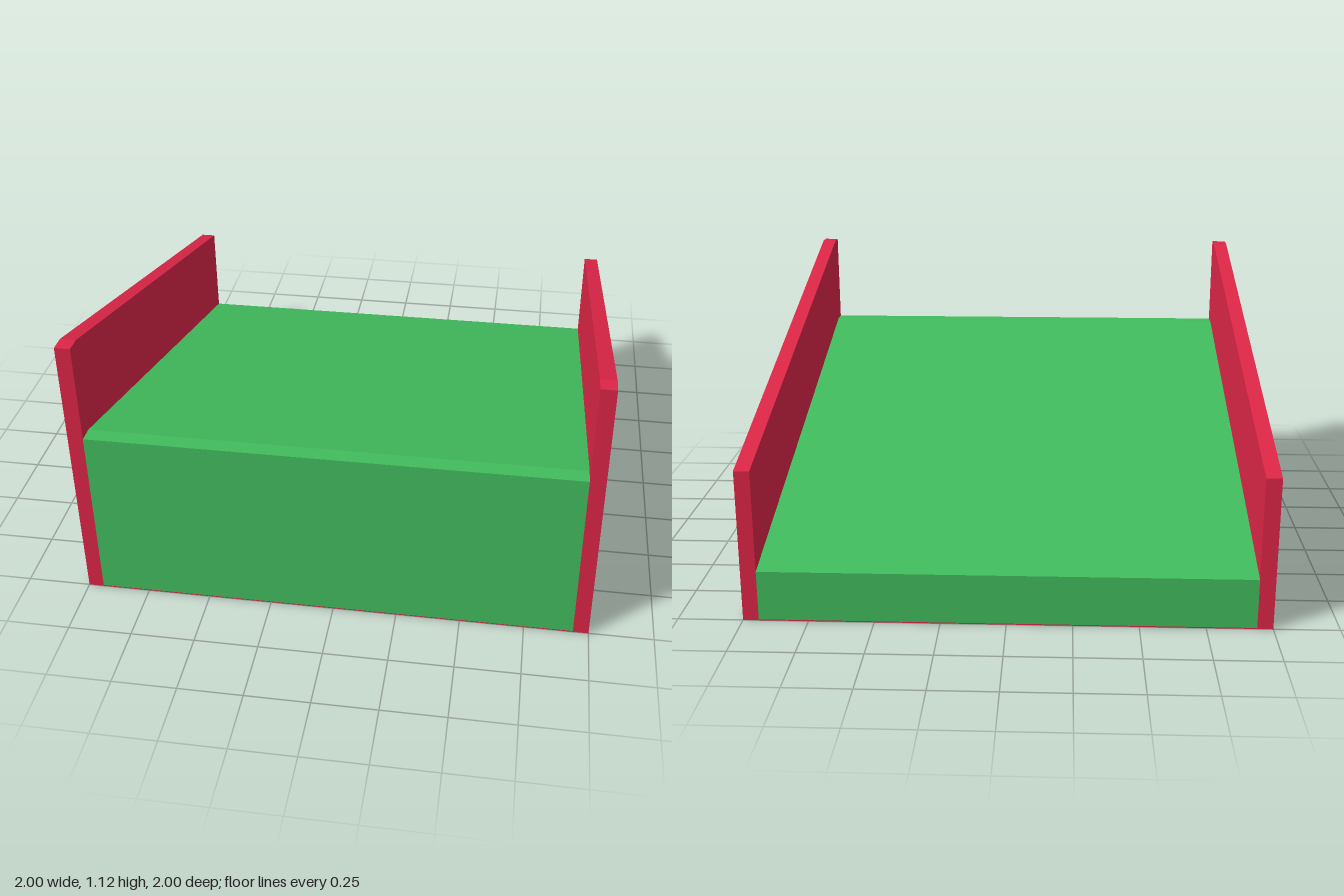
import * as THREE from 'three';

const HALF_DEPTH = 1, WALL = 0.06, BASE = 0.004;

// Extrudes a side profile of [z, y] points along x, starting at x0
function extrudeAcross(profile, x0, width, material, name) {
  const shape = new THREE.Shape(profile.map(([z, y]) => new THREE.Vector2(-z, y)));
  const geometry = new THREE.ExtrudeGeometry(shape, { depth: width, bevelEnabled: false });
  geometry.rotateY(Math.PI / 2); // shape x becomes -z, depth becomes x
  geometry.translate(x0, 0, 0);
  const mesh = new THREE.Mesh(geometry, material);
  mesh.name = name;
  return mesh;
}

// Sloped profile with a short level crest at the front
const slope = (bottom, backHeight, frontHeight) => [
  [HALF_DEPTH, bottom],
  [-HALF_DEPTH, bottom],
  [-HALF_DEPTH, backHeight],
  [0.935, frontHeight],
  [HALF_DEPTH, frontHeight],
];

export function createModel() {
  const red = new THREE.MeshStandardMaterial({ color: 0xdc2546 });
  red.name = 'crimson';
  const green = new THREE.MeshStandardMaterial({ color: 0x41bb5d });
  green.name = 'green';

  const group = new THREE.Group();
  group.name = 'walledRamp';

  // Side walls
  const wall = slope(0, 0.6, 1.12);
  group.add(extrudeAcross(wall, 1 - WALL, WALL, red, 'leftWall'));
  group.add(extrudeAcross(wall, -1, WALL, red, 'rightWall'));

  // Ramp between the walls
  const inner = 2 - 2 * WALL;
  group.add(extrudeAcross(slope(BASE, 0.2, 0.725), -inner / 2, inner, green, 'ramp'));

  // Thin red underside
  const underside = new THREE.Mesh(new THREE.BoxGeometry(inner, BASE, 2 * HALF_DEPTH), red);
  underside.name = 'underside';
  underside.position.y = BASE / 2;
  group.add(underside);

  return group;
}
